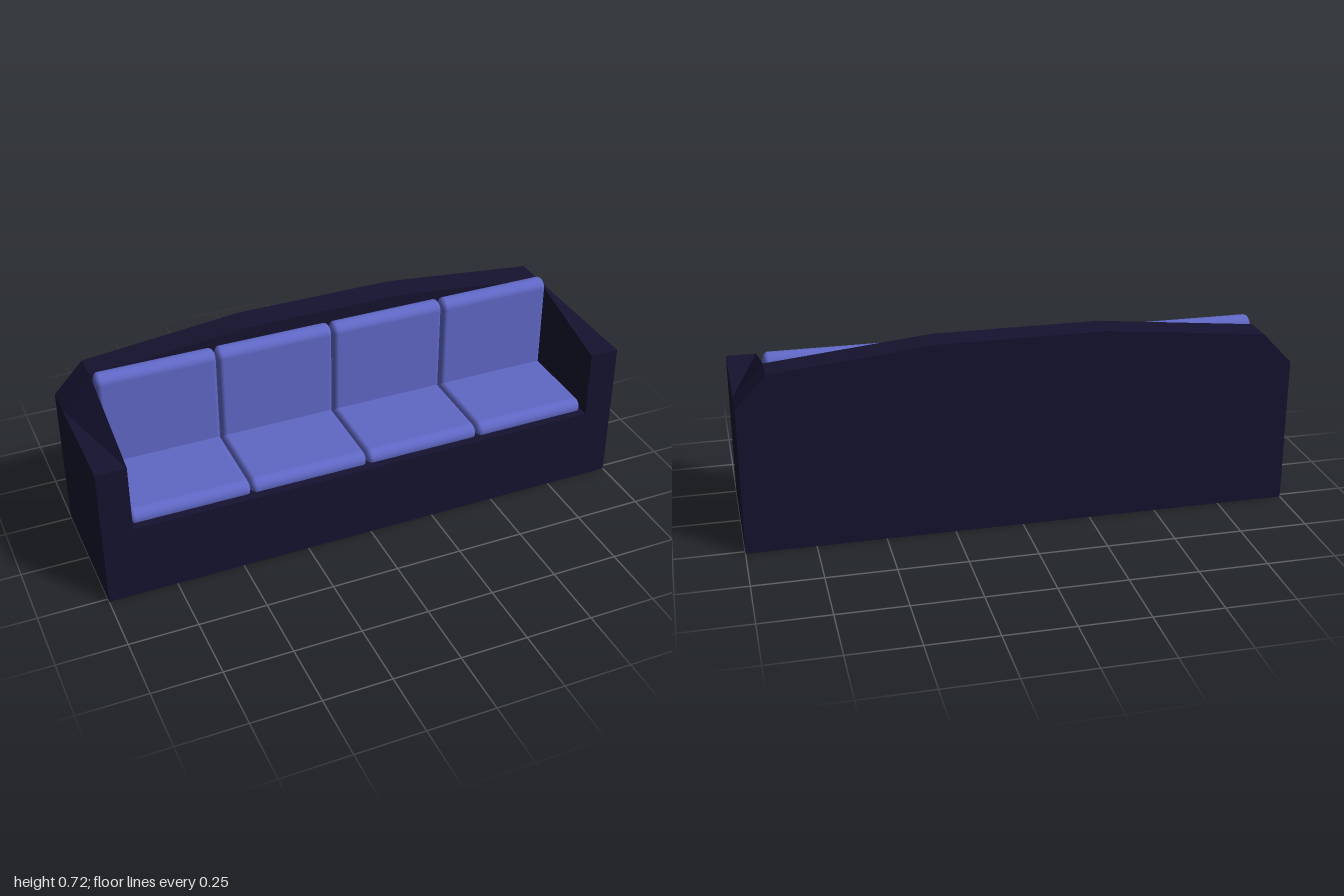
import * as THREE from 'three';
import { RoundedBoxGeometry } from 'three/addons/geometries/RoundedBoxGeometry.js';

const HALF_DEPTH = 0.266, BACK_FRONT_Z = -0.152, INNER_X = 0.89, SEAT_Y = 0.287;
const ARM_Y = 0.545, SHOULDER_Y = 0.66, CREST_Y = 0.72;

export function createModel() {
  const group = new THREE.Group();
  const frameMat = new THREE.MeshStandardMaterial({ color: 0x15122f });
  const cushionMat = new THREE.MeshStandardMaterial({ color: 0x6068c6 });

  const add = (name, geometry, material, x = 0, y = 0, z = 0) => {
    const mesh = new THREE.Mesh(geometry, material);
    mesh.name = name;
    mesh.position.set(x, y, z);
    group.add(mesh);
    return mesh;
  };

  // Backrest: faceted crest, extruded front to back
  const outline = [
    [-1, 0], [1, 0], [1, ARM_Y], [INNER_X, SHOULDER_Y], [0.3, CREST_Y],
    [-0.3, CREST_Y], [-INNER_X, SHOULDER_Y], [-1, ARM_Y],
  ].map(([x, y]) => new THREE.Vector2(x, y));
  add('backrest', new THREE.ExtrudeGeometry(new THREE.Shape(outline), {
    depth: HALF_DEPTH + BACK_FRONT_Z, bevelEnabled: false,
  }), frameMat, 0, 0, -HALF_DEPTH);

  // Seat base between the arms
  const frontDepth = HALF_DEPTH - BACK_FRONT_Z;
  const frontZ = (HALF_DEPTH + BACK_FRONT_Z) / 2;
  add('seatBase', new THREE.BoxGeometry(INNER_X * 2, SEAT_Y, frontDepth), frameMat, 0, SEAT_Y / 2, frontZ);

  // Arms: boxes whose inner back corner rises to the backrest shoulder
  const box = new THREE.BoxGeometry(1 - INNER_X, ARM_Y, frontDepth);
  const p = box.attributes.position;
  for (let i = 0; i < p.count; i++) {
    if (p.getX(i) < 0 && p.getY(i) > 0 && p.getZ(i) < 0) p.setY(i, SHOULDER_Y - ARM_Y / 2);
  }
  const armGeometry = box.toNonIndexed();
  armGeometry.computeVertexNormals();
  for (const side of [-1, 1]) {
    const arm = add(side > 0 ? 'leftArm' : 'rightArm', armGeometry, frameMat,
      side * (1 + INNER_X) / 2, ARM_Y / 2, frontZ);
    arm.scale.x = side;
  }

  // Cushions: fully rounded across the thickness, tighter rounding at the seams
  const width = INNER_X / 2, thickness = 0.07, squash = 0.6;
  const cushion = (height, depth) =>
    new RoundedBoxGeometry(width / squash, height, depth, 6, thickness / 2 - 0.0005).scale(squash, 1, 1);
  const seatGeometry = cushion(thickness, 0.388);
  const backGeometry = cushion(0.427, thickness);
  for (let i = 0; i < 4; i++) {
    const x = (i - 1.5) * width;
    add('seatCushion' + (i + 1), seatGeometry, cushionMat, x, 0.295, 0.041);
    add('backCushion' + (i + 1), backGeometry, cushionMat, x, 0.4735, -0.118);
  }
  return group;
}
